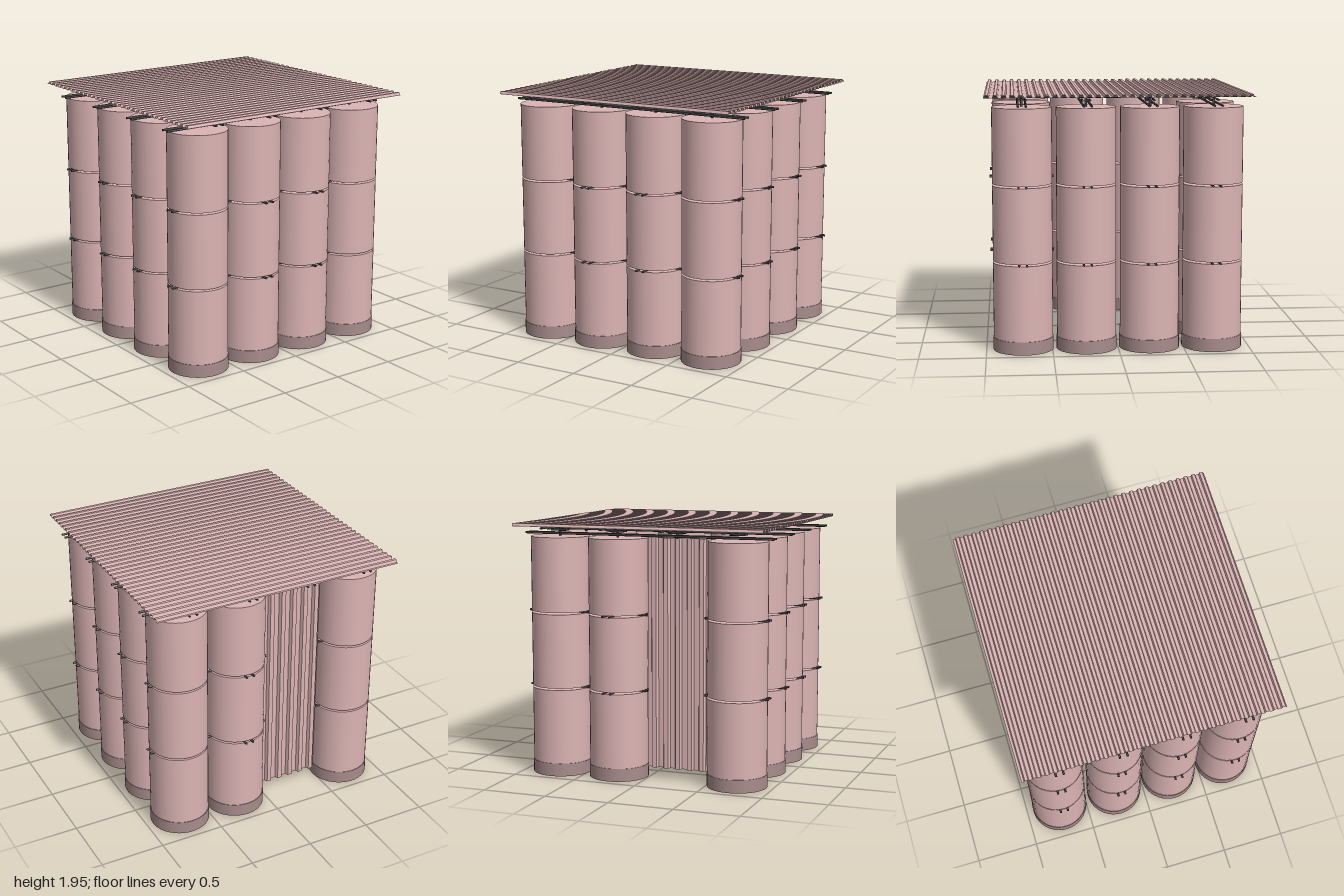
import * as THREE from 'three';

const mat = (color, extra = {}) => new THREE.MeshStandardMaterial({ color, ...extra });
const drumMat = mat(0xdcb4b4);
const baseMat = mat(0xa88c8c);
const rodMat = mat(0x444444);
const sheetMat = mat(0xdcb4b4, { side: THREE.DoubleSide, flatShading: true });

const R = 0.225, ROD = 0.0085, PAIR = 0.029;
const GRID = [-0.72, -0.24, 0.24, 0.72];
const SECTIONS = [[0.08, 0.673], [0.687, 1.256], [1.27, 1.842]];
const SEAMS = [0.68, 1.263];

function add(parent, name, geo, material, x = 0, y = 0, z = 0) {
  const mesh = new THREE.Mesh(geo, material);
  mesh.name = name;
  mesh.position.set(x, y, z);
  parent.add(mesh);
  return mesh;
}

// A pair of round rods side by side, running along x or z
function rodPair(parent, name, axis, length, x, y, z) {
  for (const s of [-PAIR, PAIR]) {
    const geo = new THREE.CylinderGeometry(ROD, ROD, length, 8);
    if (axis === 'x') add(parent, name, geo.rotateZ(Math.PI / 2), rodMat, x, y, z + s);
    else add(parent, name, geo.rotateX(Math.PI / 2), rodMat, x + s, y, z);
  }
}

// Trapezoid-ribbed sheet: ribs run along z, waves stand up in y
function ribbedSheet(width, length, periods, height) {
  const p = width / periods, pos = [], idx = [];
  const wave = [[0, 0], [0.3, 0], [0.42, 1], [0.78, 1], [0.9, 0]];
  const profile = [];
  for (let i = 0; i < periods; i++) {
    for (const [u, v] of wave) profile.push([-width / 2 + (i + u) * p, v * height]);
  }
  profile.push([width / 2, 0]);
  profile.forEach(([x, y], i) => {
    pos.push(x, y, -length / 2, x, y, length / 2);
    if (i) {
      const a = 2 * i - 2;
      idx.push(a, a + 1, a + 2, a + 1, a + 3, a + 2);
    }
  });
  const geo = new THREE.BufferGeometry();
  geo.setAttribute('position', new THREE.Float32BufferAttribute(pos, 3));
  geo.setIndex(idx);
  geo.computeVertexNormals();
  return geo;
}

// Three stacked barrels on a footing, with rods clamped in the seams
function drumColumn(x, z, sideMiddle) {
  const g = new THREE.Group();
  g.name = 'drumColumn';
  add(g, 'footing', new THREE.CylinderGeometry(R + 0.004, R + 0.004, 0.1, 40), baseMat, 0, 0.05, 0);
  for (const [y0, y1] of SECTIONS) {
    add(g, 'drum', new THREE.CylinderGeometry(R, R, y1 - y0, 40), drumMat, 0, (y0 + y1) / 2, 0);
  }
  for (const y of SEAMS) {
    rodPair(g, 'seamRod', 'z', 0.5, 0, y, 0);
    if (sideMiddle) rodPair(g, 'seamCrossRod', 'x', 0.5, 0, y, 0);
  }
  g.position.set(x, 0, z);
  return g;
}

export function createModel() {
  const model = new THREE.Group();
  model.name = 'drumShelter';

  // Ring of drum columns, leaving a doorway on the -x side
  for (const x of GRID) {
    for (const z of GRID) {
      const edgeX = Math.abs(x) > 0.5, edgeZ = Math.abs(z) > 0.5;
      if (!edgeX && !edgeZ) continue;
      const doorway = x < -0.5 && z === 0.24;
      if (!doorway) model.add(drumColumn(x, z, edgeX && !edgeZ));

      // Roof ties above each column
      rodPair(model, 'tieRod', 'z', 0.12, x, 1.889, z);
      if (z < 0.5) {
        add(model, 'tiePost', new THREE.CylinderGeometry(0.01, 0.01, 0.065, 8), rodMat, x, 1.875, z);
      }
    }
  }

  // Roof bearers: lower rods along z, upper rods along x
  for (const c of GRID) {
    rodPair(model, 'lowerBearer', 'z', 2, c, 1.862, 0);
    rodPair(model, 'upperBearer', 'x', 2, 0, 1.915, c);
  }

  // Ribbed roof
  add(model, 'roof', ribbedSheet(2, 1.99, 32, 0.021), sheetMat, 0, 1.925, -0.005);

  // Ribbed door panel with upright ribs, facing outward
  const door = ribbedSheet(0.475, 1.76, 5, 0.025).rotateX(Math.PI / 2).rotateY(-Math.PI / 2);
  add(model, 'doorPanel', door, sheetMat, -0.725, 0.97, 0.243);

  return model;
}
